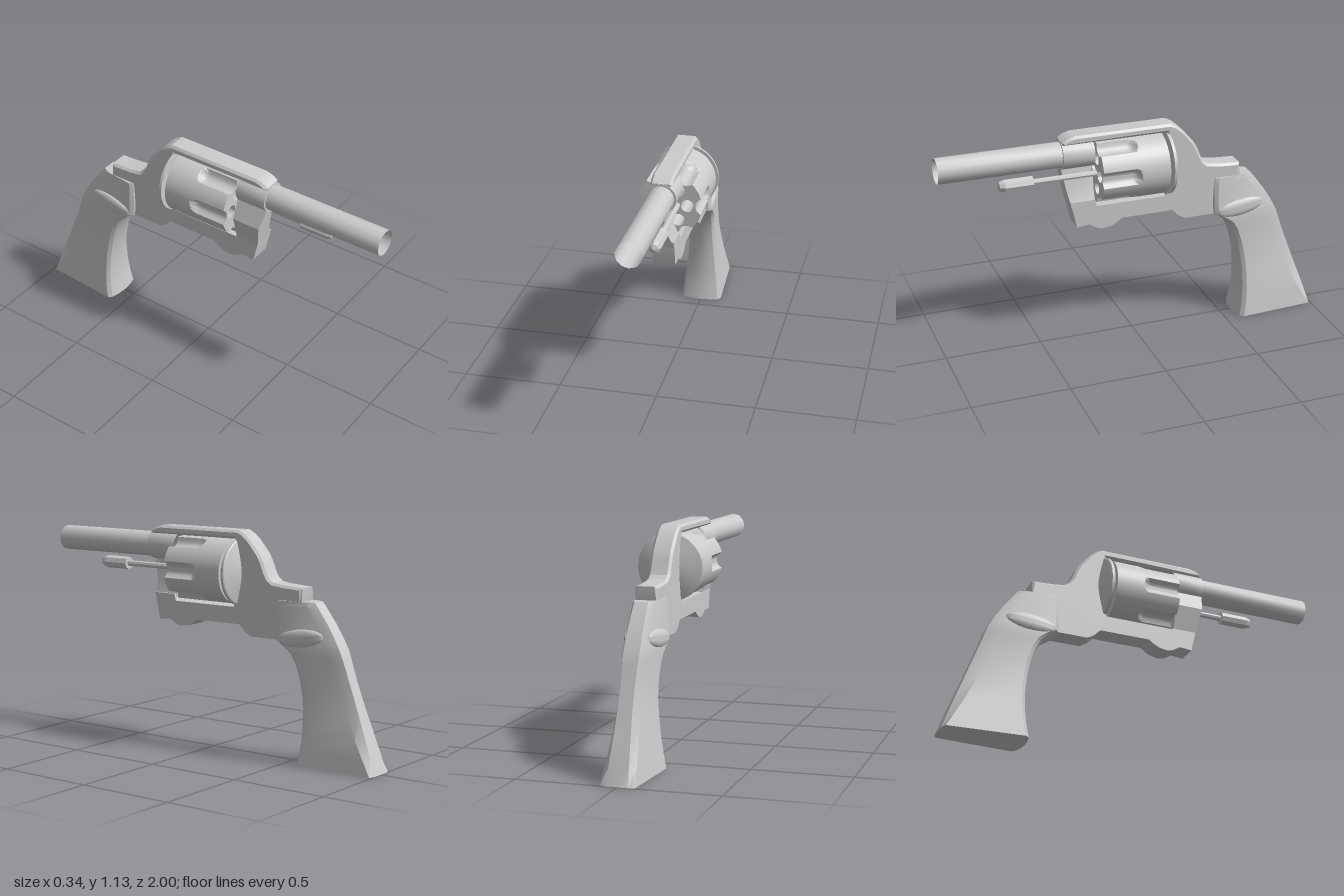
import * as THREE from 'three';
import { toCreasedNormals } from 'three/addons/utils/BufferGeometryUtils.js';

const grey = new THREE.MeshStandardMaterial({ color: 0xcccccc });
const greyOpen = new THREE.MeshStandardMaterial({ color: 0xcccccc, side: THREE.DoubleSide });
const AXIS_Y = 0.917; // height of the rotating drum's axis

export function createModel() {
  const model = new THREE.Group();

  const add = (name, geometry, material = grey, crease = 0.6, parent = model) => {
    const mesh = new THREE.Mesh(toCreasedNormals(geometry, crease), material);
    mesh.name = name;
    parent.add(mesh);
    return mesh;
  };
  // Cylinder lying along z from z0 (radius r0) to z1 (radius r1)
  const rod = (r0, r1, z0, z1, x, y, sides, open = false) =>
    new THREE.CylinderGeometry(r1, r0, z1 - z0, sides, 1, open)
      .rotateX(Math.PI / 2).translate(x, y, (z0 + z1) / 2);
  const polygon = (points) => new THREE.Shape(points.map(([a, b]) => new THREE.Vector2(a, b)));

  // Frame: side outline (z, y), open at the front where the crane fits
  const half = 0.055, bevel = 0.012;
  const frame = new THREE.ExtrudeGeometry(polygon([
    [0.375, 1.1], [0.35, 1.117], [0.31, 1.128], [-0.19, 1.128], [-0.225, 1.11], [-0.26, 1.08],
    [-0.315, 1.015], [-0.335, 0.98], [-0.355, 0.93], [-0.372, 0.9], [-0.395, 0.883],
    [-0.45, 0.875], [-0.57, 0.868], [-0.57, 0.78], [-0.5, 0.605], [-0.27, 0.605],
    [-0.235, 0.625], [-0.2, 0.66], [0.07, 0.66], [0.1, 0.638], [0.13, 0.624], [0.17, 0.618],
    [0.2, 0.624], [0.245, 0.65], [0.31, 0.643], [0.34, 0.775], [0.34, 0.78], [0.215, 0.78],
    [0.205, 0.745], [-0.168, 0.745], [-0.168, 1.085], [0.375, 1.085],
  ].reverse()), {
    depth: 2 * (half - bevel), bevelThickness: bevel, bevelSize: bevel, bevelOffset: -bevel, bevelSegments: 1,
  }).translate(0, 0, bevel - half).rotateY(-Math.PI / 2);
  // Only the upper edges keep their chamfer
  const fp = frame.attributes.position;
  for (let i = 0; i < fp.count; i++) {
    if (fp.getY(i) < 0.8) fp.setX(i, Math.sign(fp.getX(i)) * half);
  }
  add('frame', frame, grey, 0.4);

  // Crane: front post, cut away on the ejector side, with a raked face
  const crane = new THREE.ExtrudeGeometry(polygon([
    [-0.055, 0.75], [0.055, 0.75], [0.022, 0.83], [0.005, 0.97], [-0.05, 0.97], [-0.09, 0.875],
  ]), { depth: 0.13, bevelEnabled: false }).translate(0, 0, 0.21);
  const cp = crane.attributes.position;
  for (let i = 0; i < cp.count; i++) {
    if (cp.getZ(i) > 0.3) cp.setZ(i, 0.34 + (cp.getY(i) - 0.775) * 0.19);
  }
  add('crane', crane);

  // Barrel and the collar that holds it
  add('barrel', rod(0.065, 0.065, 0.215, 1, 0, 1.025, 12, true), greyOpen);
  add('barrelCollar', rod(0.075, 0.075, 0.215, 0.378, 0, 1.025, 20, true), greyOpen);
  add('collarFront', new THREE.RingGeometry(0.064, 0.075, 20).translate(0, 1.025, 0.378), greyOpen);

  // Ejector rod with a thicker rounded head
  add('ejectorRod', rod(0.015, 0.015, 0.2, 0.54, 0.04, 0.917, 8));
  add('ejectorHead', new THREE.LatheGeometry(
    [[0, 0.53], [0.033, 0.53], [0.033, 0.675], [0.024, 0.7], [0, 0.71]].map((p) => new THREE.Vector2(...p)), 8,
  ).rotateX(Math.PI / 2).translate(0.04, 0.917, 0), grey, 0.3);

  // Drum: a cylinder whose wall is pressed in by six round-ended flutes
  const drum = new THREE.Group();
  drum.name = 'drum';
  drum.position.y = AXIS_Y;
  model.add(drum);
  const R = 0.162, SIDES = 96, Z0 = -0.15, Z1 = 0.2;
  const wallRadius = (angle, z) => {
    const step = Math.PI / 3;
    const a = angle - Math.round(angle / step) * step;
    const past = Math.max(0, 0.045 - z), D = 0.175, cut = 0.045;
    const inside = cut * cut - past * past - (D * Math.sin(a)) ** 2;
    return inside > 0 ? Math.min(R, D * Math.cos(a) - Math.sqrt(inside)) : R;
  };
  const wall = new THREE.CylinderGeometry(R, R, Z1 - Z0, SIDES, 35, true)
    .rotateX(Math.PI / 2).translate(0, 0, (Z0 + Z1) / 2);
  const wp = wall.attributes.position;
  for (let i = 0; i < wp.count; i++) {
    const a = Math.atan2(wp.getY(i), wp.getX(i));
    const r = wallRadius(a, wp.getZ(i));
    wp.setXY(i, r * Math.cos(a), r * Math.sin(a));
  }
  add('drumWall', wall, grey, 0.5, drum);

  const face = polygon(Array.from({ length: SIDES }, (_, i) => {
    const a = (i / SIDES) * Math.PI * 2, r = wallRadius(a, Z1);
    return [r * Math.cos(a), r * Math.sin(a)];
  }));
  for (let i = 0; i < 6; i++) {
    const a = (i * Math.PI) / 3, x = 0.09 * Math.cos(a), y = 0.09 * Math.sin(a);
    face.holes.push(new THREE.Path().absarc(x, y, 0.032, 0, Math.PI * 2));
    add('chamber', rod(0.032, 0.032, 0.02, Z1, x, y, 24, true), greyOpen, 0.6, drum);
    add('chamberFloor', new THREE.CircleGeometry(0.032, 24).translate(x, y, 0.02), grey, 0.6, drum);
    add('cartridgeRim', rod(0.038, 0.038, -0.162, Z0, x, y, 16), grey, 0.6, drum);
  }
  add('drumFront', new THREE.ShapeGeometry(face, 24).translate(0, 0, Z1), grey, 0.6, drum);
  add('drumBack', new THREE.CircleGeometry(R, SIDES).rotateY(Math.PI).translate(0, 0, Z0), grey, 0.6, drum);
  add('drumPin', rod(0.03, 0.03, -0.17, 0.215, 0, 0, 16), grey, 0.6, drum);

  // Domed shield behind the drum
  add('recoilShield', new THREE.LatheGeometry(
    [[0, -0.222], [0.05, -0.215], [0.11, -0.2], [0.165, -0.186], [0.17, -0.182], [0.17, -0.168], [0, -0.168]]
      .map((p) => new THREE.Vector2(...p)), 48,
  ).rotateX(Math.PI / 2).translate(0, AXIS_Y, 0), grey, 0.4);

  // Grip: cross-sections from the butt up [y, front z, back z, half width, back chamfer]
  const sections = [
    [0, -0.563, -1, 0.11, 0.012], [0.08, -0.576, -0.972, 0.1, 0.03], [0.16, -0.582, -0.942, 0.09, 0.045],
    [0.27, -0.579, -0.9, 0.078, 0.055], [0.35, -0.569, -0.87, 0.071, 0.06], [0.43, -0.552, -0.84, 0.07, 0.06],
    [0.5, -0.528, -0.815, 0.072, 0.06], [0.545, -0.503, -0.8, 0.076, 0.06], [0.575, -0.465, -0.788, 0.079, 0.06],
    [0.605, -0.42, -0.772, 0.08, 0.06], [0.64, -0.413, -0.753, 0.077, 0.06],
    [0.7, -0.412, -0.715, 0.074, 0.055], [0.78, -0.414, -0.655, 0.07, 0.045], [0.802, -0.42, -0.637, 0.068, 0.04],
  ];
  const verts = [], faces = [];
  for (const [y, f, b, w, c] of sections) {
    const side = [[0.5 * w, f - 0.006], [0.85 * w, f - 0.016], [w, f - 0.035], [0.78 * w, b + c], [0.5 * w, b]];
    const ring = [[0, f], ...side, [0, b], ...side.map(([x, z]) => [-x, z]).reverse()];
    for (const [x, z] of ring) verts.push(x, y, z);
  }
  const n = 12, top = (sections.length - 1) * n;
  for (let s = 0; s < top; s += n) {
    for (let i = 0; i < n; i++) {
      const j = (i + 1) % n;
      faces.push(s + i, s + j, s + n + j, s + i, s + n + j, s + n + i);
    }
  }
  for (let i = 1; i < n - 1; i++) faces.push(0, i + 1, i, top, top + i, top + i + 1);
  const grip = new THREE.BufferGeometry();
  grip.setAttribute('position', new THREE.Float32BufferAttribute(verts, 3));
  grip.setIndex(faces);
  add('grip', grip, grey, 0.4);

  // Thumb swells on both sides of the grip
  for (const s of [-1, 1]) {
    const swell = add('thumbSwell', new THREE.SphereGeometry(1, 24, 16).scale(0.02, 0.045, 0.13));
    swell.position.set(s * 0.066, 0.625, -0.575);
    swell.rotation.set(0.12, s * 0.06, 0);
  }
  return model;
}
